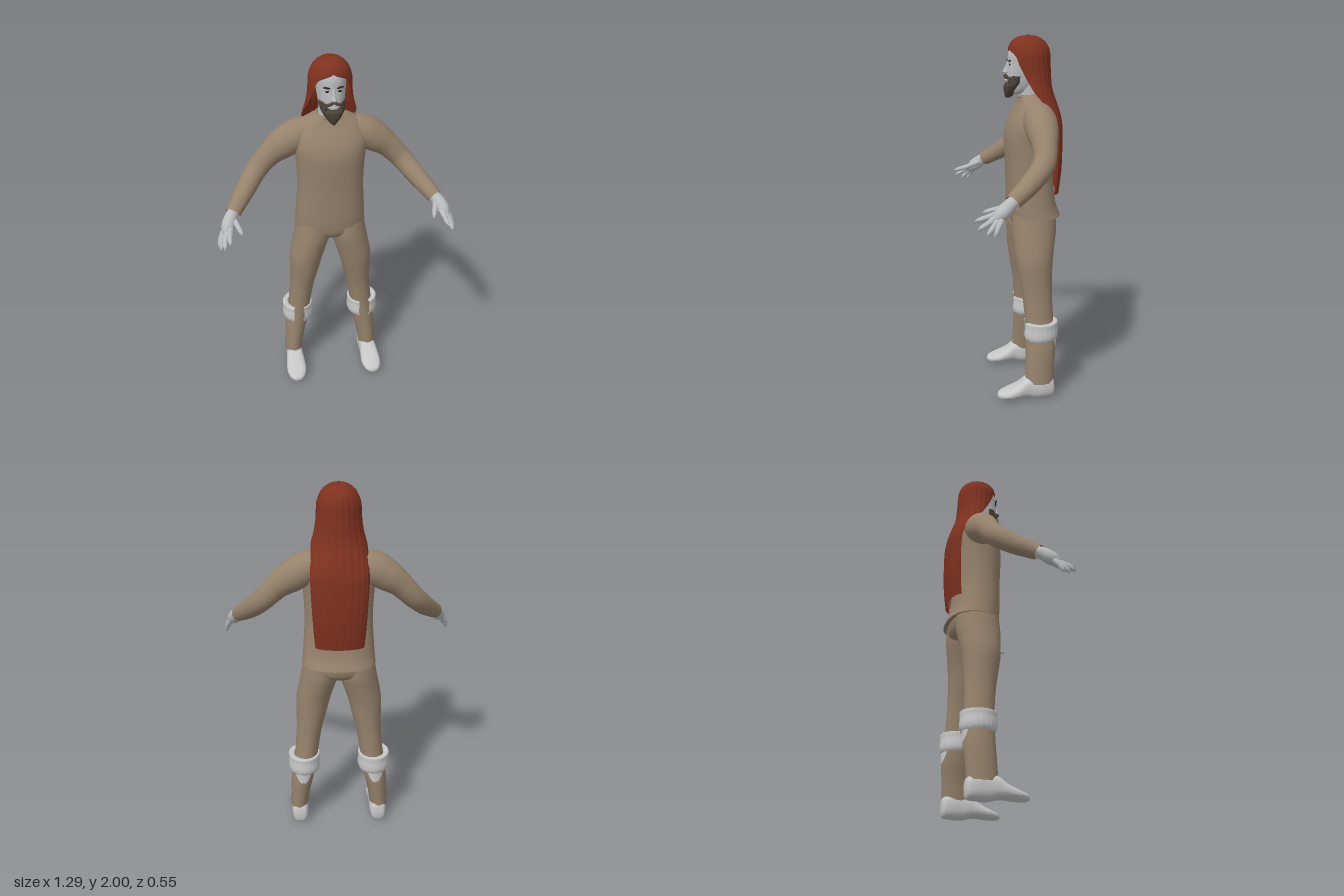
import * as THREE from 'three';
import { toCreasedNormals } from 'three/addons/utils/BufferGeometryUtils.js';

const V = (x, y, z) => new THREE.Vector3(x, y, z);
const mat = (name, color, side = THREE.FrontSide) => {
  const m = new THREE.MeshStandardMaterial({ color, side });
  m.name = name;
  return m;
};

// Smooth skin over rings [y, cx, cz, rx, rz, halfAngle]; halfAngle is measured from the back
function loft(rings, { n = 32, steps = 4, p = 2, ripple = 0, caps = true } = {}) {
  const centres = new THREE.CatmullRomCurve3(rings.map(r => V(r[1], r[0], r[2])), false, 'catmullrom');
  const sizes = new THREE.CatmullRomCurve3(rings.map(r => V(r[3], r[4], r[5] ?? Math.PI)), false, 'catmullrom');
  const rows = (rings.length - 1) * steps, pos = [], idx = [];
  const pow = v => Math.sign(v) * Math.abs(v) ** (2 / p);
  for (let i = 0; i <= rows; i++) {
    const c = centres.getPoint(i / rows), s = sizes.getPoint(i / rows);
    const A = Math.min(s.z, Math.PI);
    for (let j = 0; j <= n; j++) {
      const t = Math.PI + A * (2 * j / n - 1), k = 1 + ripple * Math.sin(t * 22);
      pos.push(c.x + s.x * k * pow(Math.sin(t)), c.y, c.z + s.y * k * pow(Math.cos(t)));
      if (i < rows && j < n) {
        const a = i * (n + 1) + j, b = a + n + 1;
        idx.push(a, a + 1, b, a + 1, b + 1, b);
      }
    }
  }
  if (caps) {
    const first = rings[0], last = rings[rings.length - 1], base = pos.length / 3, top = rows * (n + 1);
    pos.push(first[1], first[0], first[2], last[1], last[0], last[2]);
    for (let j = 0; j < n; j++) idx.push(base, j + 1, j, base + 1, top + j, top + j + 1);
  }
  const g = new THREE.BufferGeometry();
  g.setAttribute('position', new THREE.Float32BufferAttribute(pos, 3));
  g.setIndex(idx);
  return toCreasedNormals(g, 1.0);
}

// Rings given as [y, half width, front z, back z]
const body = rows => rows.map(([y, rx, f, b]) => [y, 0, (f + b) / 2, rx, (f - b) / 2]);

// Tube whose radius follows a list of values
function limb(points, radii, n = 24, seg = 18) {
  const curve = new THREE.CatmullRomCurve3(points.map(p => V(...p)));
  const g = new THREE.TubeGeometry(curve, n, 1, seg), pos = g.attributes.position, v = V(0, 0, 0);
  for (let k = 0; k < pos.count; k++) {
    const u = Math.floor(k / (seg + 1)) / n, f = u * (radii.length - 1);
    const i = Math.min(Math.floor(f), radii.length - 2);
    const c = curve.getPointAt(u), r = THREE.MathUtils.lerp(radii[i], radii[i + 1], f - i);
    v.fromBufferAttribute(pos, k).sub(c).multiplyScalar(r).add(c);
    pos.setXYZ(k, v.x, v.y, v.z);
  }
  g.computeVertexNormals();
  return toCreasedNormals(g, 1.2);
}

export function createModel() {
  const model = new THREE.Group();
  const cloth = mat('tan cloth', 0x96826c, THREE.DoubleSide);
  const hairMat = mat('red hair', 0x7f3220, THREE.DoubleSide);
  const skin = mat('pale skin', 0xb8babc);
  const boot = mat('light grey leather', 0xc6c6c6, THREE.DoubleSide);
  const beardMat = mat('dark beard', 0x4b4238);
  const dark = mat('dark features', 0x2c2a2a);
  const add = (name, geo, m) => {
    const mesh = new THREE.Mesh(geo, m);
    mesh.name = name;
    model.add(mesh);
    return mesh;
  };
  const blob = (name, m, x, y, z, sx, sy, sz, rz = 0) => {
    const b = add(name, new THREE.SphereGeometry(1, 16, 12), m);
    b.position.set(x, y, z);
    b.scale.set(sx, sy, sz);
    b.rotation.z = rz;
  };

  // Shirt and collar
  add('shirt', loft(body([
    [1.03, .2, .025, -.265], [1.1, .194, .03, -.24], [1.25, .184, .032, -.222], [1.35, .184, .036, -.22],
    [1.45, .19, .04, -.222], [1.52, .2, .03, -.222], [1.58, .2, .006, -.22], [1.63, .175, -.02, -.21],
    [1.665, .125, -.035, -.185], [1.69, .08, -.04, -.165]]), { n: 48, p: 2.3 }), cloth);
  const collar = add('collar', new THREE.TorusGeometry(.076, .008, 8, 32), cloth);
  collar.position.set(0, 1.685, -.1);
  collar.rotation.x = Math.PI / 2 + .12;
  collar.scale.y = .85;

  // Hips
  add('hips', loft(body([[.935, .03, -.05, -.16], [.955, .13, -.02, -.21], [.99, .19, .005, -.235], [1.06, .19, .015, -.245]]),
    { p: 2.3 }), cloth);

  // Neck and head
  add('neck', loft(body([[1.62, .066, -.035, -.165], [1.69, .062, -.035, -.16], [1.76, .06, -.03, -.16]])), skin);
  add('head', loft(body([
    [1.69, .025, .005, -.05], [1.71, .048, .022, -.1], [1.75, .063, .03, -.15], [1.8, .072, .029, -.17],
    [1.85, .078, .023, -.18], [1.9, .08, .02, -.18], [1.94, .07, .002, -.16], [1.97, .03, -.04, -.13]]), { p: 2.1 }), skin);
  add('nose', loft([[1.798, 0, .028, .012, .012], [1.808, 0, .03, .016, .021], [1.83, 0, .025, .009, .015],
    [1.862, 0, .018, .008, .007]], { n: 16 }), skin);
  add('lower lip', new THREE.SphereGeometry(.01, 12, 8).scale(1.4, .6, .6).translate(0, 1.765, .031), skin);

  // Beard
  add('beard', loft(body([[1.672, .008, .034, .012], [1.69, .026, .04, -.012], [1.715, .046, .044, -.035],
    [1.74, .061, .042, -.05], [1.755, .066, .03, -.06], [1.79, .0715, .015, -.06]])), beardMat);

  // Hair: a hood open around the face, running into a long sheet down the back
  const d = Math.PI / 180;
  add('hair', loft([
    [1.155, 0, -.212, .13, .045, 90 * d], [1.3, 0, -.222, .14, .05, 90 * d], [1.5, 0, -.222, .15, .05, 90 * d],
    [1.58, 0, -.2, .15, .063, 90 * d], [1.64, 0, -.155, .148, .09, 88 * d], [1.7, 0, -.115, .142, .108, 95 * d],
    [1.75, 0, -.105, .128, .108, 106 * d], [1.8, 0, -.1, .119, .11, 118 * d], [1.85, 0, -.095, .115, .112, 128 * d],
    [1.9, 0, -.093, .112, .112, 142 * d], [1.935, 0, -.09, .1, .107, Math.PI], [1.965, 0, -.087, .082, .09, Math.PI],
    [1.99, 0, -.088, .048, .055, Math.PI], [2, 0, -.09, .005, .006, Math.PI]],
  { n: 120, ripple: .012, caps: false }), hairMat);

  for (const s of [1, -1]) {
    const side = s > 0 ? 'left' : 'right';
    const m = p => [p[0] * s, p[1], p[2]];

    // Face details
    blob(side + 'Eyebrow', dark, .033 * s, 1.868, .017, .022, .005, .006, .2 * s);
    blob(side + 'Eye', dark, .032 * s, 1.849, .017, .012, .005, .004);
    blob(side + 'Moustache', beardMat, .018 * s, 1.786, .031, .024, .008, .01, -.4 * s);
    blob(side + 'BeardCorner', beardMat, .041 * s, 1.766, .017, .009, .022, .012, .1 * s);

    // Sleeve
    add(side + 'Sleeve', limb([[.12, 1.585, -.12], [.165, 1.572, -.12], [.23, 1.535, -.12], [.315, 1.475, -.118],
      [.4, 1.388, -.1], [.475, 1.307, -.02], [.55, 1.232, .085]].map(m),
    [.08, .09, .083, .067, .06, .057, .054, .048, .041], 36, 28), cloth);

    // Hand
    add(side + 'Palm', limb([[.535, 1.245, .06], [.56, 1.222, .1], [.58, 1.19, .14], [.592, 1.16, .18], [.597, 1.148, .197]].map(m),
      [.034, .032, .034, .037, .035, .022, .001]), skin);
    const fingers = {
      Thumb: [[.55, 1.215, .11], [.53, 1.197, .165], [.51, 1.18, .228]],
      IndexFinger: [[.568, 1.185, .165], [.575, 1.172, .21], [.578, 1.155, .275]],
      MiddleFinger: [[.585, 1.175, .17], [.6, 1.148, .21], [.608, 1.12, .263]],
      RingFinger: [[.598, 1.165, .16], [.617, 1.13, .19], [.627, 1.092, .222]],
      LittleFinger: [[.605, 1.165, .145], [.624, 1.13, .165], [.636, 1.085, .185]]
    };
    for (const [name, pts] of Object.entries(fingers))
      add(side + name, limb(pts.map(m), [.016, .016, .015, .014, .013, .011, .001], 14, 10), skin);

    // Trouser leg
    add(side + 'Trouser', loft([
      [.095, .235, -.12, .052, .08], [.2, .225, -.125, .057, .082], [.3, .211, -.13, .064, .084],
      [.45, .188, -.125, .066, .08], [.6, .17, -.115, .071, .084], [.7, .156, -.107, .083, .094],
      [.8, .143, -.102, .095, .105], [.9, .118, -.105, .102, .117], [.96, .104, -.108, .104, .123],
      [1.05, .095, -.112, .098, .12]].map(r => [r[0], r[1] * s, ...r.slice(2)])), cloth);

    // Fur cuff below the knee, split at the front, with a flap behind
    const A = 160 * d;
    add(side + 'Cuff', loft([[.365, .062], [.347, .08], [.375, .09], [.425, .087], [.452, .087], [.45, .06]]
      .map(([y, r]) => [y, .2 * s, -.13, r, r + .008, A]), { caps: false, ripple: .01, n: 64 }), boot);
    add(side + 'CuffFlap', loft([[.29, .2], [.31, .45], [.34, .65], [.37, .7]]
      .map(([y, a]) => [y, .207 * s, -.129, .069, .089, a]), { caps: false }), boot);

    // Shoe, skinned from heel to toe
    const shoe = loft([[-.205, .025, .03, .08], [-.195, .04, .005, .115], [-.15, .049, 0, .135], [-.09, .05, 0, .132],
      [-.045, .052, .012, .125], [0, .057, .015, .09], [.05, .058, .012, .066], [.095, .043, .012, .05],
      [.115, .022, .016, .04], [.12, .005, .022, .032]]
      .map(([z, rx, lo, hi]) => [z, (.234 + z * .02) * s, -(lo + hi) / 2, rx, (hi - lo) / 2]), { p: 2.6 });
    add(side + 'Shoe', shoe.rotateX(Math.PI / 2), boot);
  }
  return model;
}
